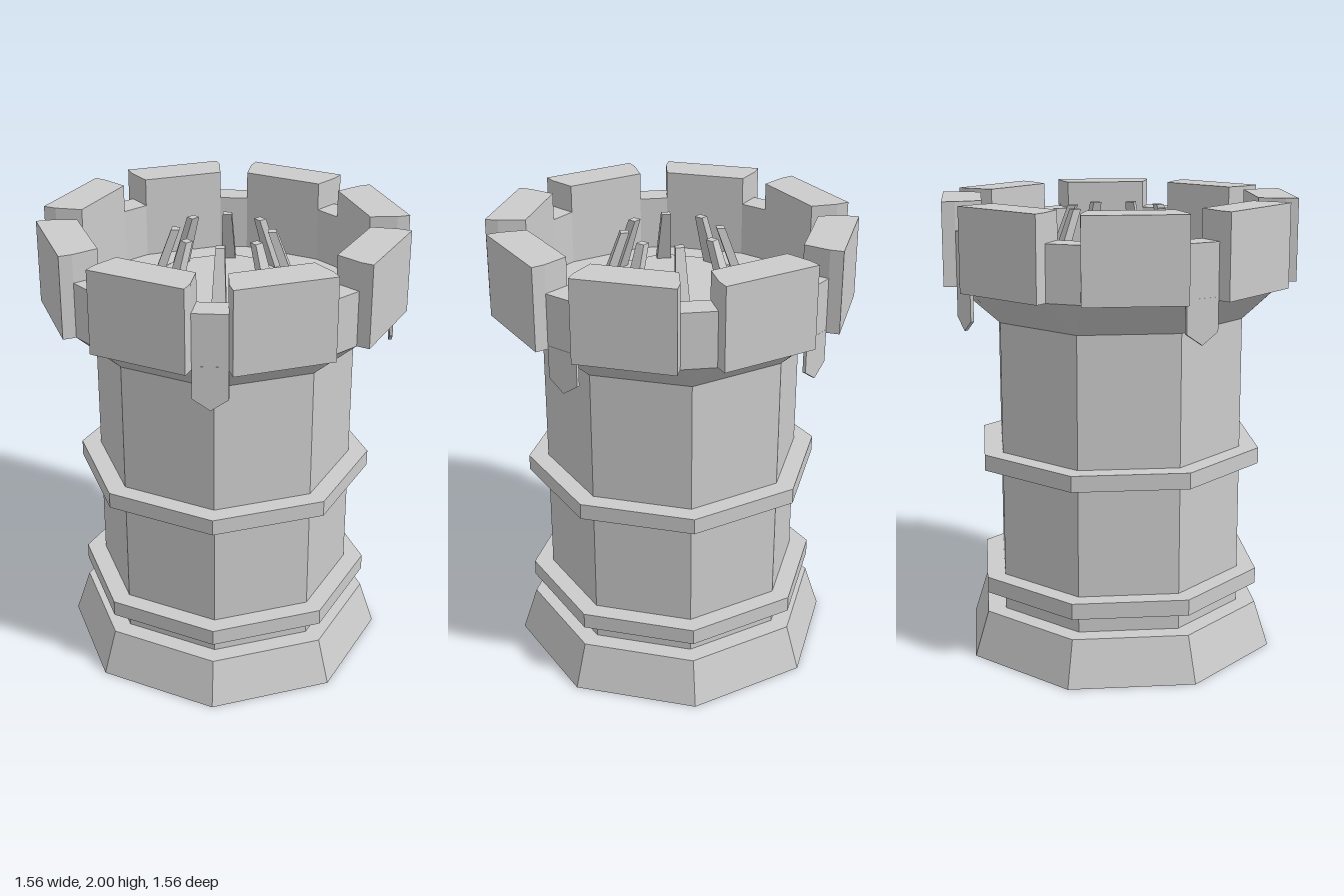
import * as THREE from 'three';

const DEG = Math.PI / 180;
const TURN = 5.4;      // twist of the whole tower
const GAP = 5.75;      // half angle of a crenel
const mat = new THREE.MeshStandardMaterial({ color: 0xcccccc, flatShading: true, side: THREE.DoubleSide });

// Skin over octagonal rings [radius, y, half angle of the corner chamfer]
function loft(rings) {
  const pos = [], index = [], n = 16;
  for (const [r, y, g = 0] of rings)
    for (let i = 0; i < n; i++) {
      const a = (45 * (i >> 1) + (i % 2 ? g : -g)) * DEG;
      pos.push(r * Math.sin(a), y, r * Math.cos(a));
    }
  for (let k = 0; k < rings.length - 1; k++)
    for (let i = 0; i < n; i++) {
      // square corners have no chamfer face
      if (i % 2 === 0 && !rings[k][2] && !rings[k + 1][2]) continue;
      const j = (i + 1) % n, a = k * n + i, b = k * n + j;
      index.push(a, b, b + n, a, b + n, a + n);
    }
  const geo = new THREE.BufferGeometry();
  geo.setAttribute('position', new THREE.Float32BufferAttribute(pos, 3));
  geo.setIndex(index);
  geo.computeVertexNormals();
  return geo;
}

// Upright prism; half footprint given as [x, distance from axis], mirrored in x
function prism(half, y0, y1) {
  const pts = [...half, ...half.map(([x, z]) => [-x, z]).reverse()];
  const shape = new THREE.Shape(pts.map(([x, z]) => new THREE.Vector2(x, -z)));
  return new THREE.ExtrudeGeometry(shape, { depth: y1 - y0, bevelEnabled: false })
    .rotateX(-Math.PI / 2).translate(0, y0, 0);
}

const polar = (r, deg) => [r * Math.sin(deg * DEG), r * Math.cos(deg * DEG)];

// Spike leaning towards the axis
function spikeGeometry() {
  const geo = new THREE.BoxGeometry(1, 1, 1), p = geo.attributes.position;
  for (let i = 0; i < p.count; i++) {
    const top = p.getY(i) > 0, outer = p.getZ(i) > 0;
    const z = top ? (outer ? 0.22 : 0.185) : (outer ? 0.31 : 0.27);
    p.setXYZ(i, Math.sign(p.getX(i)) * (top ? 0.019 : 0.031), top ? 1.95 : 1.71, z);
  }
  geo.computeVertexNormals();
  return geo;
}

export function createModel() {
  const tower = new THREE.Group();
  tower.name = 'tower';
  const add = (name, geo, deg = 0) => {
    const mesh = new THREE.Mesh(geo, mat);
    mesh.name = name;
    mesh.rotation.y = (TURN + deg) * DEG;
    tower.add(mesh);
  };

  // Hollow foot, shaft and the two bands
  add('base', loft([[0.71, 0], [0.645, 0.2], [0.56, 0.2]]));
  add('shaft', loft([[0.56, 0.2], [0.56, 1.49]]));
  for (const y of [0.29, 0.85])
    add('band', loft([[0.56, y], [0.645, y], [0.645, y + 0.07], [0.56, y + 0.07]]));

  // Corbel, roof floor and raised centre
  add('corbel', loft([[0.56, 1.49], [0.725, 1.645, GAP]]));
  add('roof', loft([[0.725, 1.645, GAP], [0.44, 1.645, GAP], [0.31, 1.72, GAP], [0, 1.72, GAP]]));

  // Battlements
  const wide = 22.5 - GAP;
  const crenel = prism([polar(0.61, GAP), polar(0.725, GAP)], 1.645, 1.88);
  const merlon = prism([polar(0.61, wide), polar(0.725, wide), [0.212, 0.75]], 1.645, 2);
  const spike = spikeGeometry();

  // Thin pointed tongue under every second crenel
  const w = polar(0.725, GAP)[0];
  const tongueShape = new THREE.Shape(
    [[-w, 1.66], [-w, 1.52], [0, 1.47], [w, 1.52], [w, 1.66]].map(([x, y]) => new THREE.Vector2(x, y)));
  const tongue = new THREE.ExtrudeGeometry(tongueShape, { depth: 0.014, bevelEnabled: false })
    .translate(0, 0, 0.708);

  for (let i = 0; i < 8; i++) {
    add('crenel', crenel, 45 * i);
    add('merlon', merlon, 45 * i + 22.5);
    add('spike', spike, 45 * i);
    if (i % 2) add('tongue', tongue, 45 * i);
  }
  return tower;
}
